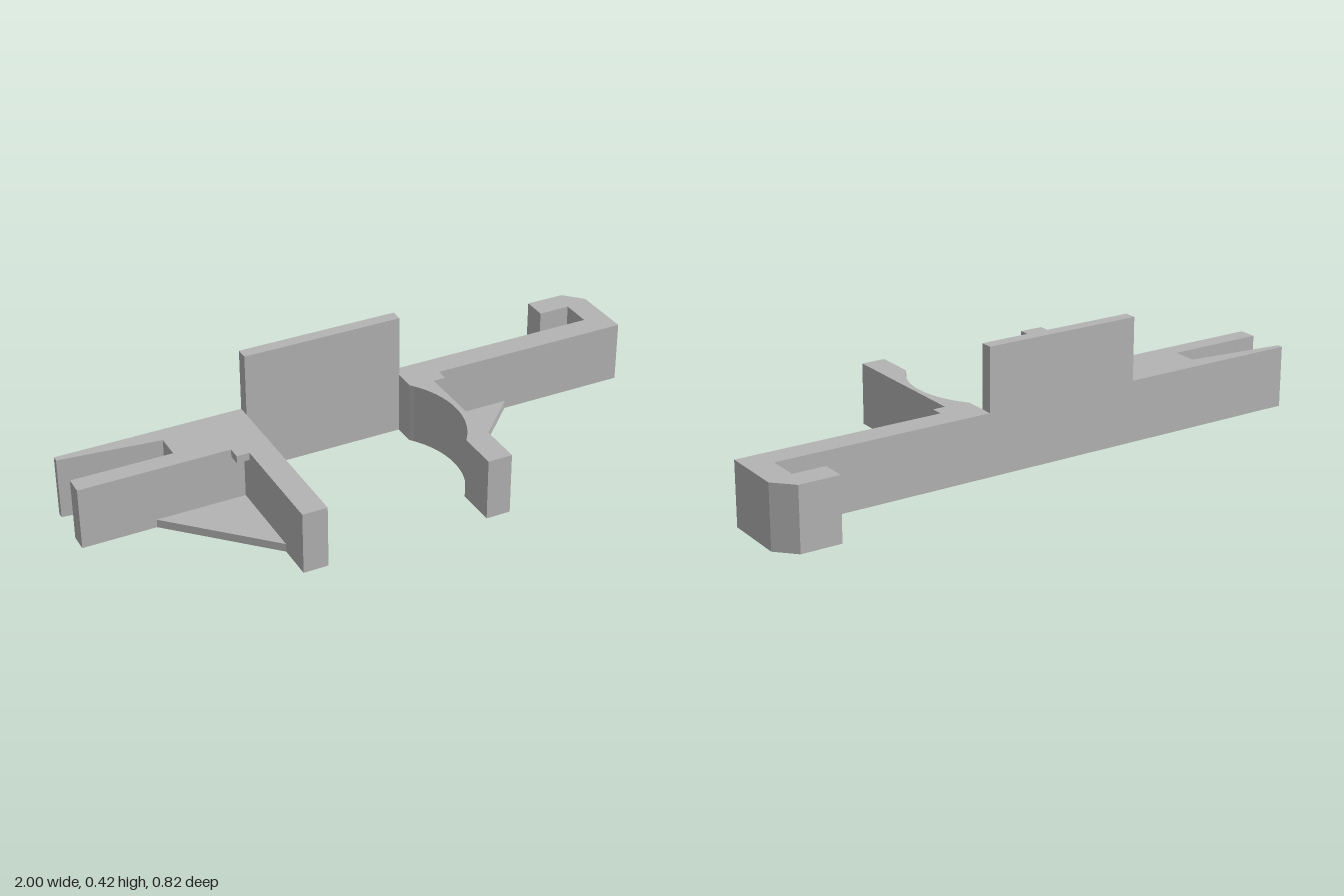
import * as THREE from 'three';

const BODY_HEIGHT = 0.21;

// Extrudes a plan outline of [x, z] points upward from y = base
function slab(name, points, base, height, material) {
  const shape = new THREE.Shape(points.map(([x, z]) => new THREE.Vector2(x, -z)));
  const geometry = new THREE.ExtrudeGeometry(shape, { depth: height, bevelEnabled: false });
  geometry.rotateX(-Math.PI / 2);
  geometry.translate(0, base, 0);
  const mesh = new THREE.Mesh(geometry, material);
  mesh.name = name;
  return mesh;
}

export function createModel() {
  const group = new THREE.Group();
  group.name = 'clipBracket';
  const grey = new THREE.MeshStandardMaterial({ color: 0xb4b4b4 });
  grey.name = 'plainGrey';

  // Round relief in the inner face of the left leg, from back to front
  const relief = [];
  const radius = 0.303, centreX = -0.063, centreZ = 0.083;
  const half = Math.acos((0.175 - centreX) / radius);
  for (let i = 0; i <= 24; i++) {
    const a = -half + (2 * half * i) / 24;
    relief.push([centreX + radius * Math.cos(a), centreZ + radius * Math.sin(a)]);
  }

  // Frame: slotted arm, two legs, thin web and hooked arm in one outline
  const frame = [
    [-1, -0.22], [-1, -0.2], [-0.665, -0.16], [-0.665, -0.075],
    [-1, -0.075], [-1, -0.013], [-0.455, -0.013], [-0.455, 0.41],
    [-0.372, 0.41], [-0.372, -0.178], [0.175, -0.178],
    ...relief,
    [0.175, 0.41], [0.258, 0.41], [0.258, -0.137], [1, -0.137],
    [1, -0.347], [0.94, -0.41], [0.805, -0.41], [0.805, -0.327],
    [0.915, -0.327], [0.915, -0.22],
  ];
  group.add(slab('frame', frame, 0, BODY_HEIGHT, grey));

  // Upright panel above the web
  const panel = [[-0.372, -0.22], [-0.372, -0.178], [0.175, -0.178], [0.175, -0.22]];
  group.add(slab('uprightPanel', panel, BODY_HEIGHT, 0.213, grey));

  // Each leg corner has a low triangular gusset and a small tab at the top
  const corners = [
    ['right', -0.455, -0.013, -1],
    ['left', 0.258, -0.137, 1],
  ];
  for (const [side, x, z, dir] of corners) {
    const gusset = [[x, z], [x + 0.3 * dir, z], [x, z + 0.3]];
    group.add(slab(side + 'Gusset', gusset, 0, 0.028, grey));
    const tx = x + 0.043 * dir;
    const tab = [[x, z], [tx, z], [tx, z + 0.043], [x, z + 0.043]];
    group.add(slab(side + 'CornerTab', tab, 0.184, BODY_HEIGHT - 0.184, grey));
  }
  return group;
}
